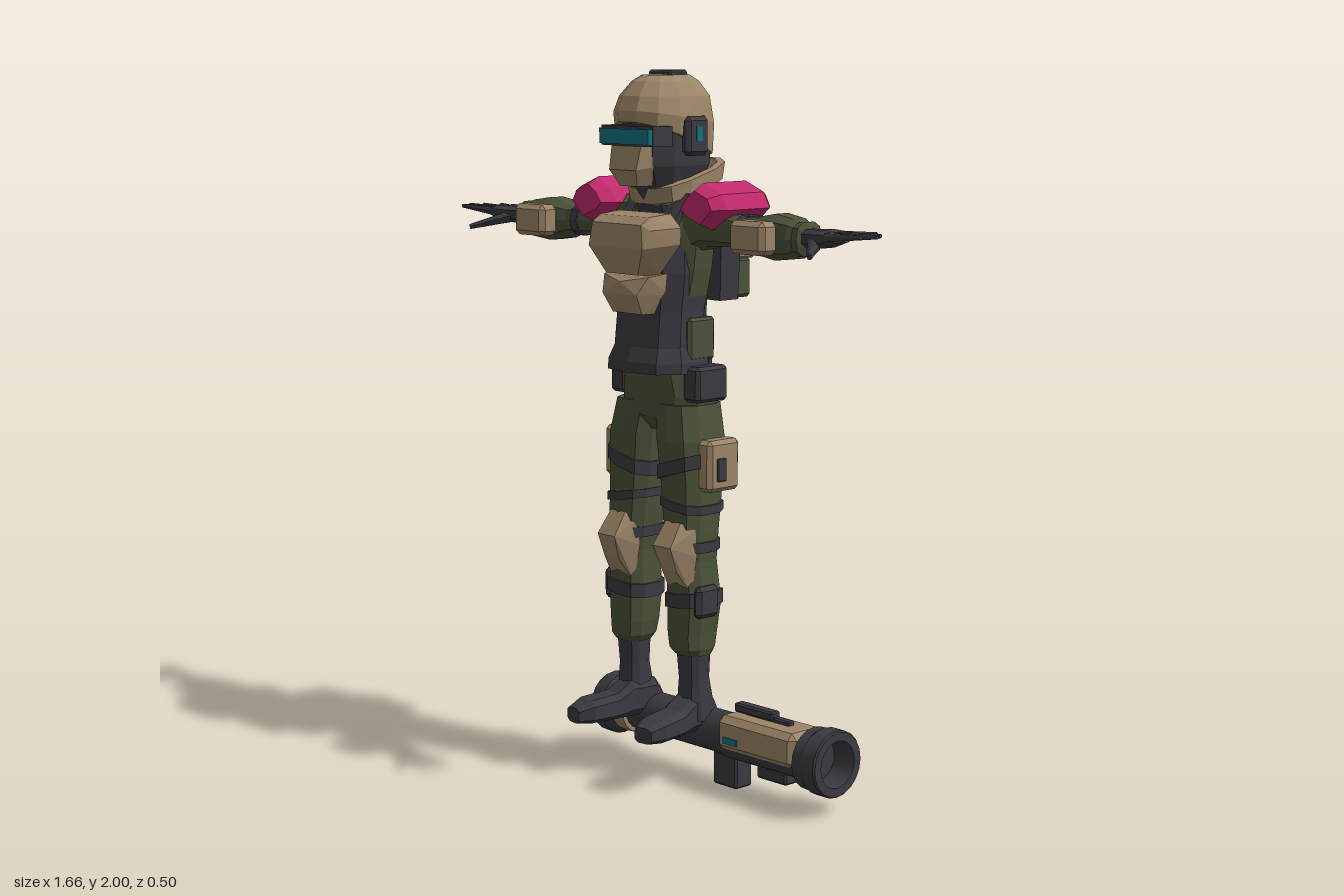
import * as THREE from 'three';
import { toCreasedNormals } from 'three/addons/utils/BufferGeometryUtils.js';
import { ConvexGeometry } from 'three/addons/geometries/ConvexGeometry.js';

const paint = (name, color) => Object.assign(new THREE.MeshStandardMaterial({ color }), { name });

// Faceted geometry from rings [t, cu, cv, ru, rv, tiltU, tiltV] along an axis
function loft(rings, axis = 'y', n = 10, e = 0.75) {
  const se = v => Math.sign(v) * Math.abs(v) ** e, norm = Math.cos(Math.PI / n) ** e;
  const place = (t, u, v) => axis === 'x' ? [t, u, v] : axis === 'y' ? [u, t, v] : [u, v, t];
  const pts = rings.map(([t, cu, cv, ru, rv, ku = 0, kv = 0]) => Array.from({ length: n }, (_, j) => {
    const a = (j + 0.5) / n * Math.PI * 2;
    const u = ru * se(Math.cos(a)) / norm, v = rv * se(Math.sin(a)) / norm;
    return place(t + ku * u + kv * v, cu + u, cv + v);
  }));
  const out = [];
  const tri = (a, b, c) => axis === 'y' ? out.push(...a, ...c, ...b) : out.push(...a, ...b, ...c);
  for (let i = 0; i < pts.length - 1; i++) for (let j = 0; j < n; j++) {
    const k = (j + 1) % n;
    tri(pts[i][j], pts[i][k], pts[i + 1][j]);
    tri(pts[i][k], pts[i + 1][k], pts[i + 1][j]);
  }
  const last = pts[pts.length - 1];
  for (let j = 1; j < n - 1; j++) {
    tri(pts[0][0], pts[0][j + 1], pts[0][j]);
    tri(last[0], last[j], last[j + 1]);
  }
  const g = new THREE.BufferGeometry();
  g.setAttribute('position', new THREE.Float32BufferAttribute(out, 3));
  g.computeVertexNormals();
  return g;
}

// Convex block from corner points; sym adds the points reflected in x
const hull = (pts, sym) => new ConvexGeometry(
  (sym ? pts.concat(pts.map(([x, y, z]) => [-x, y, z])) : pts).map(p => new THREE.Vector3(...p)));

// Chamfered box
function box(x, y, z, w, h, d, b = 0.008) {
  const pts = [], s = [-0.5, 0.5];
  for (const i of s) for (const j of s) for (const k of s) {
    const p = [i * w, j * h, k * d], q = [i, j, k].map((v, m) => p[m] - 2 * v * b);
    pts.push([p[0], q[1], q[2]], [q[0], p[1], q[2]], [q[0], q[1], p[2]]);
  }
  return hull(pts).translate(x, y, z);
}
const plate = (x, y, z, w, h, d) => new THREE.BoxGeometry(w, h, d).translate(x, y, z);

// Tapered finger between two points
function finger(p, q, r0, r1) {
  const a = new THREE.Vector3(...p), b = new THREE.Vector3(...q), d = b.clone().sub(a);
  const g = new THREE.CylinderGeometry(r1, r0, d.length(), 6);
  g.applyQuaternion(new THREE.Quaternion().setFromUnitVectors(new THREE.Vector3(0, 1, 0), d.normalize()));
  const m = a.add(b).multiplyScalar(0.5);
  return g.translate(m.x, m.y, m.z);
}

// Reflected copy in x with corner order restored
function mirrored(geo) {
  const g = geo.index ? geo.toNonIndexed() : geo.clone(), p = g.attributes.position;
  const v = i => [-p.getX(i), p.getY(i), p.getZ(i)];
  for (let i = 0; i < p.count; i += 3) {
    const a = v(i), b = v(i + 1), c = v(i + 2);
    p.setXYZ(i, ...a); p.setXYZ(i + 1, ...c); p.setXYZ(i + 2, ...b);
  }
  g.computeVertexNormals();
  return g;
}

export function createModel() {
  const tan = paint('tan armour', 0x9c8568), dark = paint('charcoal', 0x3b3a41);
  const green = paint('olive cloth', 0x4a5238), pink = paint('magenta armour', 0xc02a6c), teal = paint('teal glass', 0x14707f);
  const model = new THREE.Group();
  model.name = 'armouredTrooper';
  const add = (name, geo, mat) => {
    const m = new THREE.Mesh(geo, mat);
    m.name = name;
    model.add(m);
  };
  const pair = (name, geo, mat) => {
    add(name + 'Left', geo, mat);
    add(name + 'Right', mirrored(geo), mat);
  };

  // Head and helmet
  add('head', loft([[1.6, 0, 0.01, 0.07, 0.07], [1.68, 0, 0.025, 0.075, 0.09], [1.74, 0, 0.025, 0.098, 0.122], [1.86, 0, 0.025, 0.105, 0.127]]), dark);
  add('helmet', loft([[1.81, 0, 0.028, 0.115, 0.135, 0, 0.37], [1.87, 0, 0.028, 0.12, 0.137, 0, 0.15], [1.93, 0, 0.025, 0.105, 0.125],
    [1.97, 0, 0.022, 0.075, 0.095], [1.987, 0, 0.02, 0.05, 0.07]], 'y', 12, 0.85), tan);
  add('helmetTopPlate', box(0, 1.988, 0.012, 0.09, 0.024, 0.07, 0.006), dark);
  add('visor', hull([[0.105, 1.8, 0.15], [0.105, 1.842, 0.15], [0.1, 1.8, 0.178], [0.1, 1.842, 0.178], [0.06, 1.8, 0.186], [0.06, 1.842, 0.186]], true), teal);
  add('visorBand', hull([[0.112, 1.795, 0.1], [0.112, 1.85, 0.1], [0.106, 1.795, 0.165], [0.106, 1.85, 0.165]], true), dark);
  add('faceMask', hull([[0.07, 1.795, 0.13], [0.06, 1.795, 0.168], [0.072, 1.74, 0.12], [0.055, 1.73, 0.182], [0.045, 1.685, 0.1], [0.035, 1.685, 0.16]], true), tan);
  pair('earPad', box(0.118, 1.822, 0.02, 0.034, 0.108, 0.085, 0.012), dark);
  pair('earLight', plate(0.1345, 1.828, 0.02, 0.006, 0.04, 0.022), teal);
  add('collar', loft([[1.655, 0, -0.02, 0.085, 0.1, 0, -0.3], [1.67, 0, -0.02, 0.11, 0.12, 0, -0.3], [1.715, 0, -0.02, 0.112, 0.13, 0, -0.3],
    [1.72, 0, -0.02, 0.095, 0.11, 0, -0.3], [1.68, 0, -0.02, 0.08, 0.09, 0, -0.3]], 'y', 12), tan);

  // Torso
  add('shirt', loft([[1.36, 0, 0.02, 0.125, 0.08], [1.46, 0, 0.015, 0.145, 0.08], [1.57, 0, 0.01, 0.155, 0.08], [1.63, 0, 0, 0.14, 0.07], [1.67, 0, 0, 0.08, 0.06]]), green);
  add('vest', loft([[1.17, 0, 0.042, 0.142, 0.122], [1.2, 0, 0.042, 0.142, 0.12], [1.24, 0, 0.04, 0.128, 0.105], [1.34, 0, 0.035, 0.126, 0.1],
    [1.45, 0, 0.03, 0.135, 0.1], [1.58, 0, 0.02, 0.115, 0.095]]), dark);
  pair('vestStrap', hull([[0.07, 1.55, 0.12], [0.11, 1.55, 0.12], [0.075, 1.672, 0.04], [0.115, 1.662, 0.04], [0.075, 1.672, -0.05],
    [0.115, 1.662, -0.05], [0.07, 1.55, -0.09], [0.11, 1.55, -0.09]]), dark);
  pair('sidePouch', box(0.122, 1.262, 0.01, 0.035, 0.12, 0.1), green);
  add('chestPlate', hull([[0.105, 1.612, 0.1], [0.1, 1.605, 0.175], [0.147, 1.575, 0.1], [0.12, 1.57, 0.19], [0.145, 1.53, 0.1], [0.11, 1.52, 0.21],
    [0.1, 1.585, 0.205], [0.08, 1.44, 0.12], [0.065, 1.445, 0.185]], true), tan);
  add('bellyPlate', hull([[0.105, 1.45, 0.09], [0.09, 1.44, 0.17], [0.1, 1.39, 0.1], [0.07, 1.39, 0.195], [0.075, 1.335, 0.1], [0.06, 1.335, 0.165],
    [0, 1.425, 0.195]], true), tan);

  // Shoulder pads: chamfered ends on a domed outline
  const dome = [[0.14, 1.63], [0.17, 1.67], [0.215, 1.7], [0.285, 1.672], [0.308, 1.63], [0.245, 1.575], [0.165, 1.605]];
  pair('shoulderPad', hull([0.118, 0.08, -0.08, -0.106].flatMap((z, i) => {
    const s = i % 3 ? 1 : 0.72;
    return dome.map(([x, y]) => [0.224 + (x - 0.224) * s, 1.63 + (y - 1.63) * s, z]);
  })), pink);

  // Arms
  pair('sleeve', loft([[0.09, 1.57, 0.0, 0.085, 0.07], [0.17, 1.585, 0, 0.065, 0.06], [0.27, 1.572, 0.01, 0.045, 0.056], [0.37, 1.568, 0.018, 0.04, 0.055],
    [0.41, 1.565, 0.022, 0.054, 0.062], [0.46, 1.566, 0.028, 0.062, 0.058], [0.53, 1.565, 0.033, 0.053, 0.052], [0.545, 1.565, 0.034, 0.044, 0.045],
    [0.57, 1.567, 0.038, 0.045, 0.047], [0.578, 1.568, 0.038, 0.025, 0.03]], 'x'), green);
  pair('armStrap', loft([[0.32, 1.57, 0.014, 0.046, 0.06], [0.345, 1.569, 0.016, 0.045, 0.06]], 'x'), dark);
  pair('forearmPlate', box(0.445, 1.568, 0.12, 0.13, 0.09, 0.065, 0.014), tan);

  // Gloves
  pair('palm', loft([[0.56, 1.57, 0.04, 0.024, 0.028], [0.6, 1.571, 0.045, 0.024, 0.034], [0.65, 1.573, 0.05, 0.024, 0.048],
    [0.7, 1.58, 0.05, 0.014, 0.046]], 'x', 8), dark);
  const tips = [[0.765, -0.012], [0.807, 0.02], [0.828, 0.056], [0.81, 0.098]];
  tips.forEach(([x, z], i) => pair('finger' + (i + 1), finger([0.68, 1.58, 0.014 + i * 0.024], [x, 1.588, z], 0.014, 0.006), dark));
  pair('thumb', finger([0.62, 1.565, 0.07], [0.695, 1.535, 0.165], 0.019, 0.008), dark);

  // Backpack
  add('packFrame', hull([[0.1, 1.65, -0.07], [0.1, 1.65, -0.14], [0.13, 1.6, -0.07], [0.13, 1.6, -0.15], [0.115, 1.36, -0.08], [0.115, 1.36, -0.15]], true), dark);
  add('packShell', hull([[0.12, 1.665, -0.13], [0.105, 1.655, -0.21], [0.15, 1.62, -0.13], [0.14, 1.61, -0.222], [0.12, 1.5, -0.14], [0.1, 1.505, -0.205],
    [0.115, 1.53, -0.222]], true), pink);
  add('packPouch', box(0, 1.418, -0.18, 0.19, 0.115, 0.09, 0.01), green);
  add('packPouchFlap', box(0, 1.482, -0.187, 0.19, 0.022, 0.1, 0.006), tan);
  pair('packClip', box(0.055, 1.43, -0.235, 0.025, 0.06, 0.025, 0.005), dark);

  // Hips and legs
  add('pelvis', loft([[1.0, 0, 0.005, 0.05, 0.055], [1.04, 0, 0.005, 0.15, 0.085], [1.1, 0, 0.005, 0.152, 0.09], [1.18, 0, 0.015, 0.13, 0.085]]), green);
  pair('hipPouch', box(0.15, 1.14, 0.01, 0.065, 0.1, 0.12, 0.01), dark);
  const legRings = [[0.37, 0.125, 0.03, 0.046, 0.045], [0.39, 0.122, 0.032, 0.056, 0.058], [0.43, 0.12, 0.03, 0.06, 0.063], [0.52, 0.122, 0.025, 0.067, 0.068],
    [0.64, 0.118, 0.03, 0.059, 0.064], [0.72, 0.115, 0.03, 0.066, 0.07], [0.86, 0.107, 0.02, 0.073, 0.08], [0.98, 0.098, 0.016, 0.078, 0.09],
    [1.08, 0.08, 0.01, 0.075, 0.085]];
  pair('trouserLeg', loft(legRings), green);
  // Straps follow the leg's thickness at each height
  const strap = (name, y, h, tilt) => {
    const i = legRings.findIndex(r => r[0] > y), a = legRings[i - 1], b = legRings[i], f = (y - a[0]) / (b[0] - a[0]);
    const [, cx, cz, rx, rz] = a.map((v, k) => v + (b[k] - v) * f);
    pair(name, loft([y - h / 2, y + h / 2].map(t => [t, cx, cz, rx + 0.006, rz + 0.006, tilt])), dark);
  };
  strap('upperThighStrap', 0.905, 0.04, 0.3);
  strap('lowerThighStrap', 0.8, 0.025, -0.15);
  strap('kneeStrap', 0.69, 0.03, -0.1);
  strap('shinStrap', 0.53, 0.04, 0.1);
  pair('thighPouch', box(0.193, 0.915, 0.0, 0.055, 0.145, 0.12, 0.012), tan);
  pair('thighPouchClip', box(0.22, 0.905, 0.015, 0.012, 0.065, 0.035, 0.003), dark);
  pair('shinPad', box(0.186, 0.53, 0.04, 0.03, 0.09, 0.085, 0.012), dark);
  pair('kneePad', hull([[0.06, 0.735, 0.07], [0.085, 0.755, 0.1], [0.145, 0.755, 0.1], [0.175, 0.735, 0.07], [0.08, 0.69, 0.145], [0.152, 0.69, 0.145],
    [0.055, 0.66, 0.07], [0.18, 0.66, 0.07], [0.09, 0.62, 0.12], [0.15, 0.62, 0.12], [0.075, 0.55, 0.075], [0.165, 0.55, 0.075]]), tan);

  // Boots, toes turned outward
  pair('bootShaft', loft([[0.18, 0.125, 0.02, 0.044, 0.05], [0.24, 0.125, 0.024, 0.042, 0.046], [0.3, 0.125, 0.028, 0.038, 0.038], [0.38, 0.125, 0.03, 0.043, 0.042]]), dark);
  pair('bootFoot', loft([[-0.055, 0, 0.185, 0.032, 0.034], [-0.03, 0, 0.2, 0.042, 0.052], [0.05, 0, 0.2, 0.043, 0.052], [0.1, 0, 0.185, 0.047, 0.037],
    [0.19, 0, 0.181, 0.049, 0.033], [0.235, 0, 0.174, 0.03, 0.022]], 'z', 8, 0.6).rotateY(0.14).translate(0.115, 0, 0.012), dark);

  // Launcher tube lying along x, hollow at both ends
  const lathe = pts => toCreasedNormals(new THREE.LatheGeometry(pts.map(p => new THREE.Vector2(...p)), 20), 0.5)
    .rotateZ(-Math.PI / 2).translate(0, 0.145, -0.02);
  add('launcherTube', lathe([[0, -0.21], [0.06, -0.21], [0.066, -0.275], [0.085, -0.275], [0.09, -0.265], [0.09, -0.225], [0.07, -0.2], [0.06, -0.15],
    [0.06, 0.22], [0.066, 0.24], [0.066, 0.54], [0.088, 0.55], [0.088, 0.58], [0.094, 0.59], [0.094, 0.635], [0.09, 0.64], [0.066, 0.64], [0.06, 0.57], [0, 0.57]]), dark);
  add('launcherRing', lathe([[0.058, -0.195], [0.075, -0.195], [0.073, -0.15], [0.058, -0.15]]), tan);
  add('launcherHousing', box(0.39, 0.168, -0.012, 0.3, 0.1, 0.135, 0.018), tan);
  add('launcherLight', plate(0.3, 0.152, 0.056, 0.055, 0.018, 0.006), teal);
  add('launcherTopRail', box(0.33, 0.232, -0.02, 0.15, 0.026, 0.035, 0.005), dark);
  add('launcherTopRailBase', box(0.38, 0.222, -0.02, 0.17, 0.016, 0.025, 0.004), dark);
  add('launcherLowerRail', box(0.41, 0.068, -0.02, 0.115, 0.036, 0.05, 0.006), dark);
  add('launcherGrip', box(0.235, 0.05, -0.018, 0.095, 0.1, 0.065, 0.006), dark);
  return model;
}
